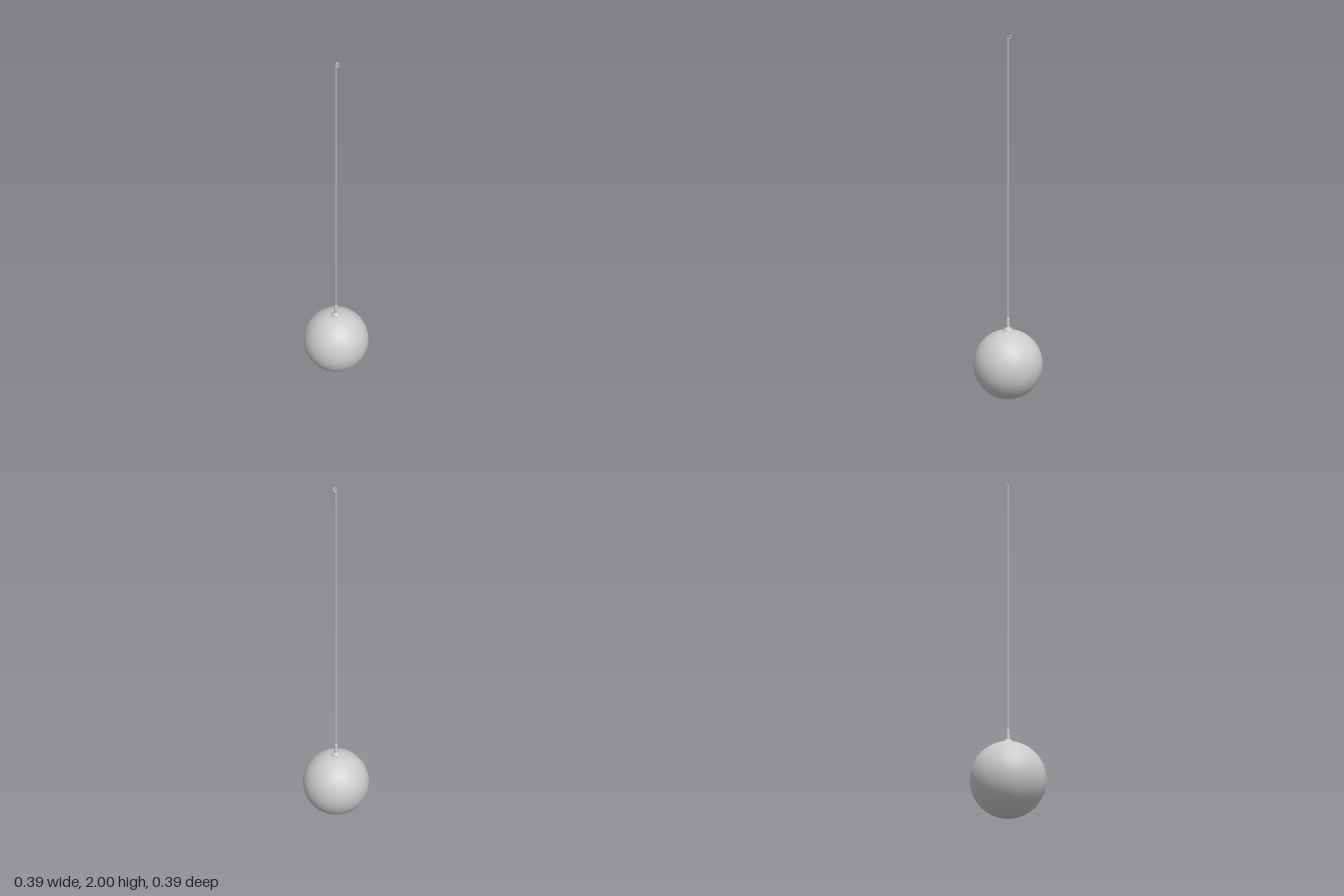
import * as THREE from 'three';

const material = new THREE.MeshStandardMaterial({ color: 0xcccccc });

function add(group, name, geometry) {
  const mesh = new THREE.Mesh(geometry, material);
  mesh.name = name;
  group.add(mesh);
  return mesh;
}

const lathe = (points, sides) =>
  new THREE.LatheGeometry(points.map(([r, y]) => new THREE.Vector2(r, y)), sides);

export function createModel() {
  const group = new THREE.Group();
  group.name = 'pendantLamp';
  const R = 0.195;

  // Round glass shade
  add(group, 'globe', new THREE.SphereGeometry(R, 36, 24)).position.y = R;

  // Low flared collar blending the globe into the cable grip
  add(group, 'collar', lathe([
    [0.027, 0.386], [0.025, 0.394], [0.021, 0.401], [0.015, 0.406], [0.009, 0.409], [0, 0.409],
  ], 24));

  // Slim cable grip, tapering slightly, with a bevelled top
  add(group, 'cableGrip', lathe([
    [0.0105, 0.4], [0.0105, 0.41], [0.0095, 0.415], [0.0085, 0.452],
    [0.0075, 0.459], [0.005, 0.462], [0, 0.462],
  ], 20));

  // Thin suspension cable
  const cableRadius = 0.0033;
  const cable = add(group, 'cable', new THREE.CylinderGeometry(cableRadius, cableRadius, 1.53, 12));
  cable.position.y = 0.455 + 1.53 / 2;

  // Hanging eye at the top, offset to the left of the cable
  const eye = add(group, 'hangingEye', new THREE.TorusGeometry(0.0105, 0.003, 10, 28));
  eye.position.set(0.0105, 1.9865, 0);

  return group;
}
